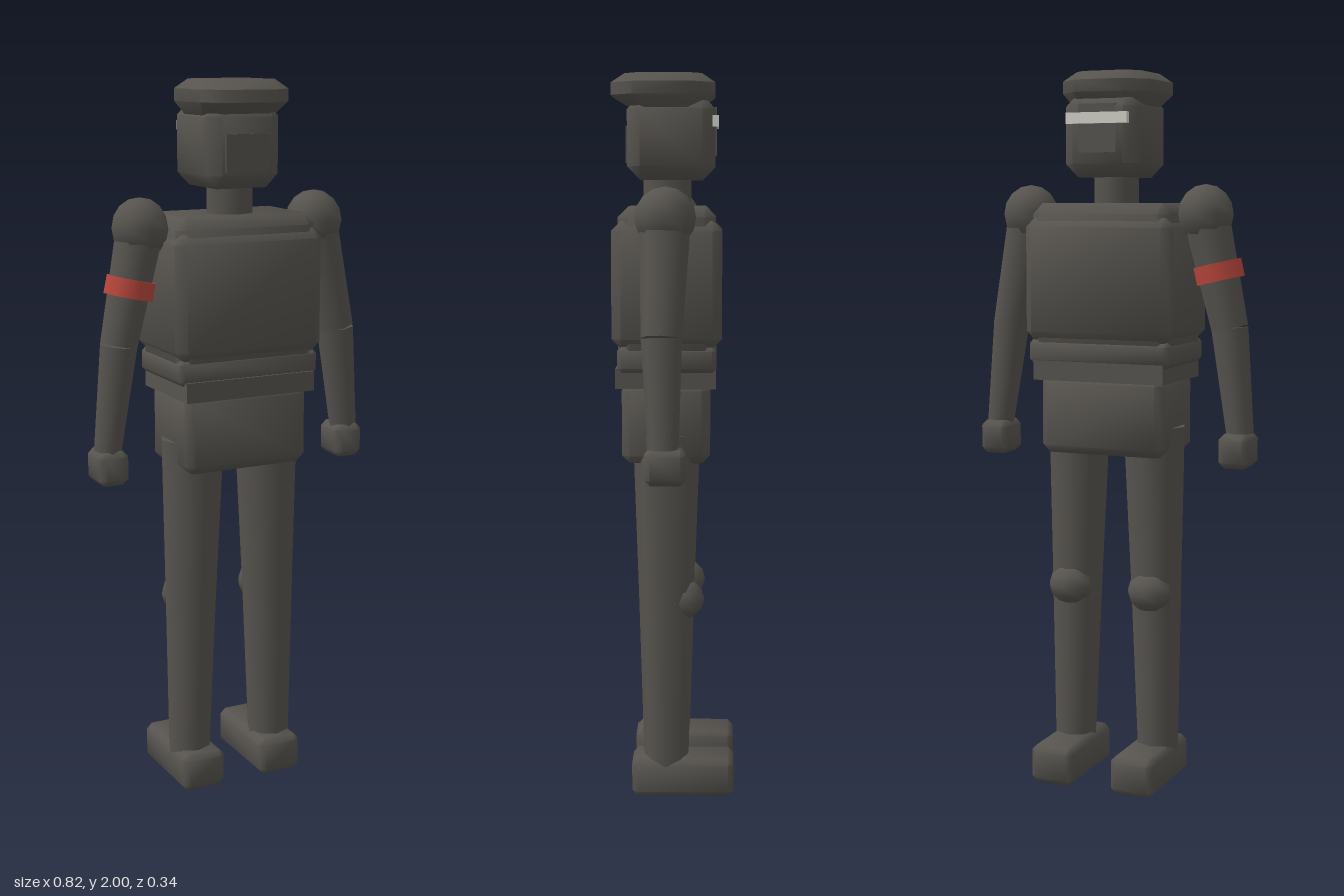
import * as THREE from 'three';
import { toCreasedNormals } from 'three/addons/utils/BufferGeometryUtils.js';
import { ConvexGeometry } from 'three/addons/geometries/ConvexGeometry.js';

const mat = (name, color) => {
  const m = new THREE.MeshStandardMaterial({ color });
  m.name = name;
  return m;
};
const V = (x, y, z) => new THREE.Vector3(x, y, z);

// Box with single-facet bevels, given by its min and max corners
function bevelBox([x0, y0, z0], [x1, y1, z1], b) {
  const pts = [];
  for (const sx of [0, 1]) for (const sy of [0, 1]) for (const sz of [0, 1]) {
    const x = sx ? x1 : x0, y = sy ? y1 : y0, z = sz ? z1 : z0;
    const dx = sx ? -b : b, dy = sy ? -b : b, dz = sz ? -b : b;
    pts.push(V(x, y + dy, z + dz), V(x + dx, y, z + dz), V(x + dx, y + dy, z));
  }
  return toCreasedNormals(new ConvexGeometry(pts), 1);
}

// Tapered eight-sided limb between two points
function limb(a, b, ra, rb, sides = 8) {
  const dir = b.clone().sub(a);
  const g = new THREE.CylinderGeometry(ra, rb, dir.length(), sides);
  g.applyQuaternion(new THREE.Quaternion().setFromUnitVectors(V(0, -1, 0), dir.normalize()));
  const c = a.clone().add(b).multiplyScalar(0.5);
  return g.translate(c.x, c.y, c.z);
}

export function createModel() {
  const model = new THREE.Group();
  model.name = 'soldier';
  const cloth = mat('darkGrey', 0x57544f);
  const red = mat('red', 0xb8473c);
  const pale = mat('paleGrey', 0xd2d2ca);

  const add = (name, geometry, material = cloth) => {
    const mesh = new THREE.Mesh(geometry, material);
    mesh.name = name;
    model.add(mesh);
    return mesh;
  };

  // Torso, belt and hips
  add('innerTorso', bevelBox([-0.208, 1.2, -0.115], [0.208, 1.645, 0.148], 0.03));
  add('chest', bevelBox([-0.22, 1.265, -0.132], [0.22, 1.605, 0.165], 0.026));
  add('waist', bevelBox([-0.21, 1.2, -0.118], [0.21, 1.27, 0.15], 0.012));
  add('belt', new THREE.BoxGeometry(0.39, 0.055, 0.272).translate(0, 1.183, 0.02));
  add('hips', bevelBox([-0.185, 0.948, -0.1], [0.185, 1.17, 0.14], 0.022));

  // Neck and head
  add('neck', limb(V(0, 1.75, 0.02), V(0, 1.62, 0.02), 0.066, 0.066));
  add('head', bevelBox([-0.11, 1.715, -0.113], [0.11, 1.94, 0.128], 0.036));
  add('facePlate', new THREE.BoxGeometry(0.13, 0.1, 0.008).translate(0, 1.81, 0.128));
  add('browPlate', new THREE.BoxGeometry(0.11, 0.13, 0.008).translate(0, 1.845, -0.112));
  add('visor', new THREE.BoxGeometry(0.18, 0.03, 0.018).translate(0, 1.872, -0.113), pale);

  // Cap from stacked octagons: height, half width, back z, front z, corner cut
  const rings = [
    [1.905, 0.105, -0.07, 0.11, 0.035],
    [1.942, 0.13, -0.112, 0.172, 0.06],
    [1.975, 0.13, -0.112, 0.172, 0.06],
    [2.0, 0.095, -0.075, 0.135, 0.035],
  ];
  const capPoints = [];
  for (const [y, w, z0, z1, c] of rings) for (const s of [-1, 1]) {
    capPoints.push(V(s * w, y, z0 + c), V(s * (w - c), y, z0));
    capPoints.push(V(s * w, y, z1 - c), V(s * (w - c), y, z1));
  }
  add('cap', toCreasedNormals(new ConvexGeometry(capPoints), 0.85));

  // Paired limbs
  for (const s of [1, -1]) {
    const side = s > 0 ? 'left' : 'right';
    const shoulder = V(s * 0.265, 1.615, 0.018);
    const elbow = V(s * 0.335, 1.305, 0.026);
    const wrist = V(s * 0.37, 1.015, 0.02);
    add(side + 'Shoulder', new THREE.SphereGeometry(0.081, 8, 8)
      .translate(shoulder.x, shoulder.y, shoulder.z));
    add(side + 'UpperArm', limb(shoulder, elbow, 0.068, 0.054));
    add(side + 'Forearm', limb(elbow, wrist, 0.054, 0.04));
    const hx = s * 0.367;
    add(side + 'Hand', bevelBox([hx - 0.043, 0.925, -0.04], [hx + 0.043, 1.02, 0.07], 0.016));

    // Legs
    const hip = V(s * 0.115, 1.025, 0.02);
    const knee = V(s * 0.123, 0.56, 0.02);
    const ankle = V(s * 0.13, 0.09, 0.02);
    add(side + 'Thigh', limb(hip, knee, 0.092, 0.076));
    add(side + 'Shin', limb(knee, ankle, 0.076, 0.062));
    add(side + 'Knee', new THREE.SphereGeometry(0.056, 8, 6)
      .scale(1.2, 1, 1).translate(s * 0.123, 0.558, -0.03));
    const fx = s * 0.123;
    add(side + 'Foot', bevelBox([fx - 0.065, 0, -0.17], [fx + 0.065, 0.11, 0.115], 0.016));
  }

  // Band around the right upper arm
  add('armband', limb(V(-0.296, 1.482, 0.027), V(-0.307, 1.434, 0.028), 0.071, 0.071), red);

  return model;
}
